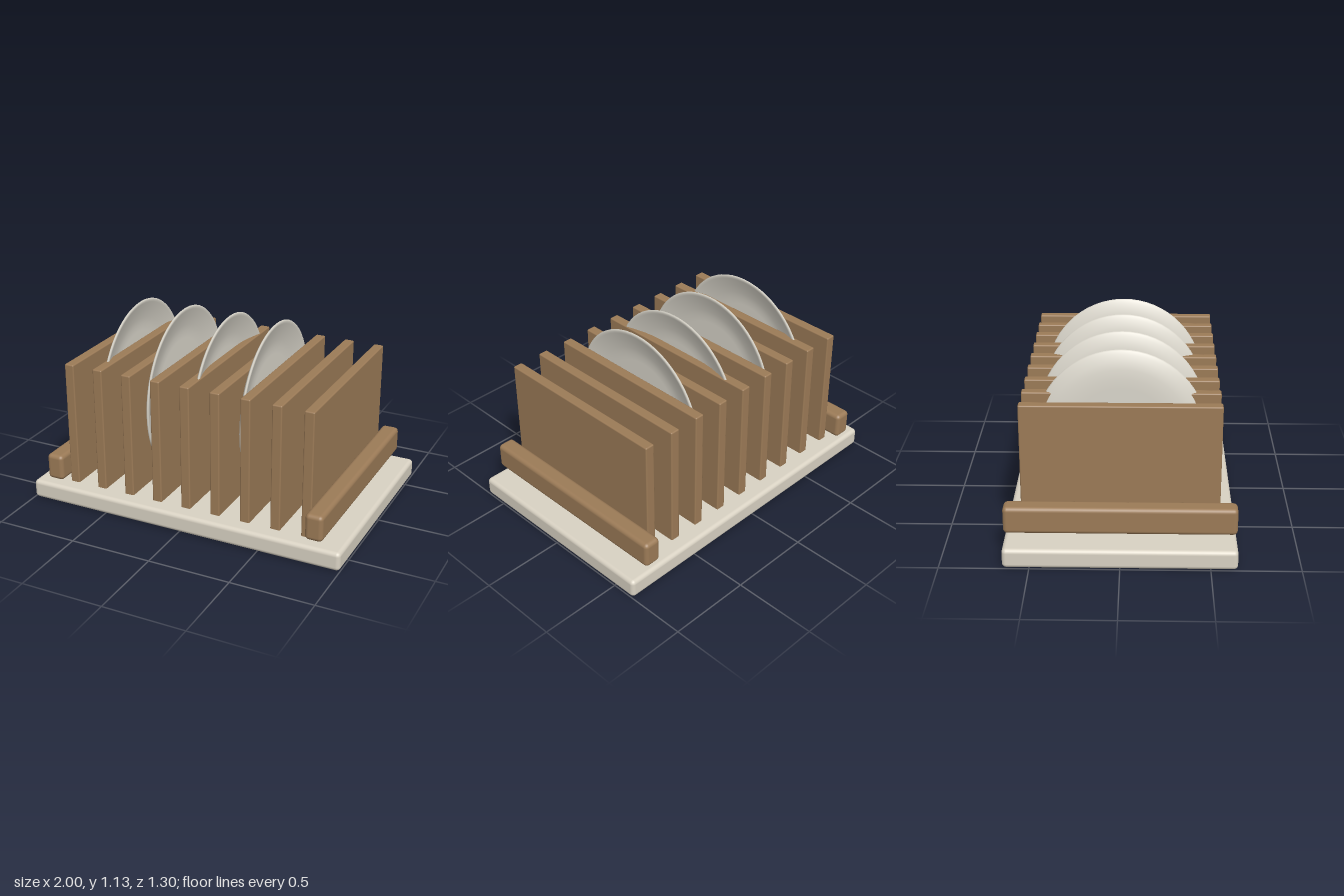
import * as THREE from 'three';
import { RoundedBoxGeometry } from 'three/addons/geometries/RoundedBoxGeometry.js';

export function createModel() {
  const group = new THREE.Group();
  const stone = new THREE.MeshStandardMaterial({ name: 'pale stone', color: 0xd9d2c3 });
  const wood = new THREE.MeshStandardMaterial({ name: 'brown wood', color: 0x9c7b57 });
  const ceramic = new THREE.MeshStandardMaterial({ name: 'off-white ceramic', color: 0xdad6cb });

  function add(name, geometry, material, x, y, z = 0) {
    const mesh = new THREE.Mesh(geometry, material);
    mesh.name = name;
    mesh.position.set(x, y, z);
    group.add(mesh);
    return mesh;
  }

  // Base tray
  add('base', new RoundedBoxGeometry(2, 0.115, 1.3, 3, 0.025), stone, 0, 0.0575);

  // Nine upright dividers
  const divider = new RoundedBoxGeometry(0.06, 0.78, 1.11, 2, 0.008);
  for (let i = 0; i < 9; i++) add('divider' + (i + 1), divider, wood, (i - 4) * 0.19, 0.493);

  // Side rails
  const rail = new RoundedBoxGeometry(0.107, 0.16, 1.3, 3, 0.025);
  add('leftRail', rail, wood, 0.839, 0.235);
  add('rightRail', rail, wood, -0.839, 0.235);

  // Plate section: flat foot, curved underside, rounded rim, sloped lip, flat well
  const profile = [
    [0, -0.03], [0.29, -0.03], [0.34, -0.029], [0.39, -0.023], [0.43, -0.013], [0.465, 0.003],
    [0.482, 0.013], [0.487, 0.019], [0.484, 0.024], [0.476, 0.026], [0.465, 0.022],
    [0.42, 0.007], [0.37, -0.007], [0.33, -0.014], [0.29, -0.016], [0, -0.016],
  ].map(([r, h]) => new THREE.Vector2(r, h));
  const plate = new THREE.LatheGeometry(profile, 64);
  plate.scale(1.057, 1, 1);
  plate.rotateZ(-Math.PI / 2);

  // Four plates standing between the dividers
  [-0.6, -0.3, 0, 0.3].forEach((x, i) => add('plate' + (i + 1), plate, ceramic, x, 0.618));

  return group;
}
